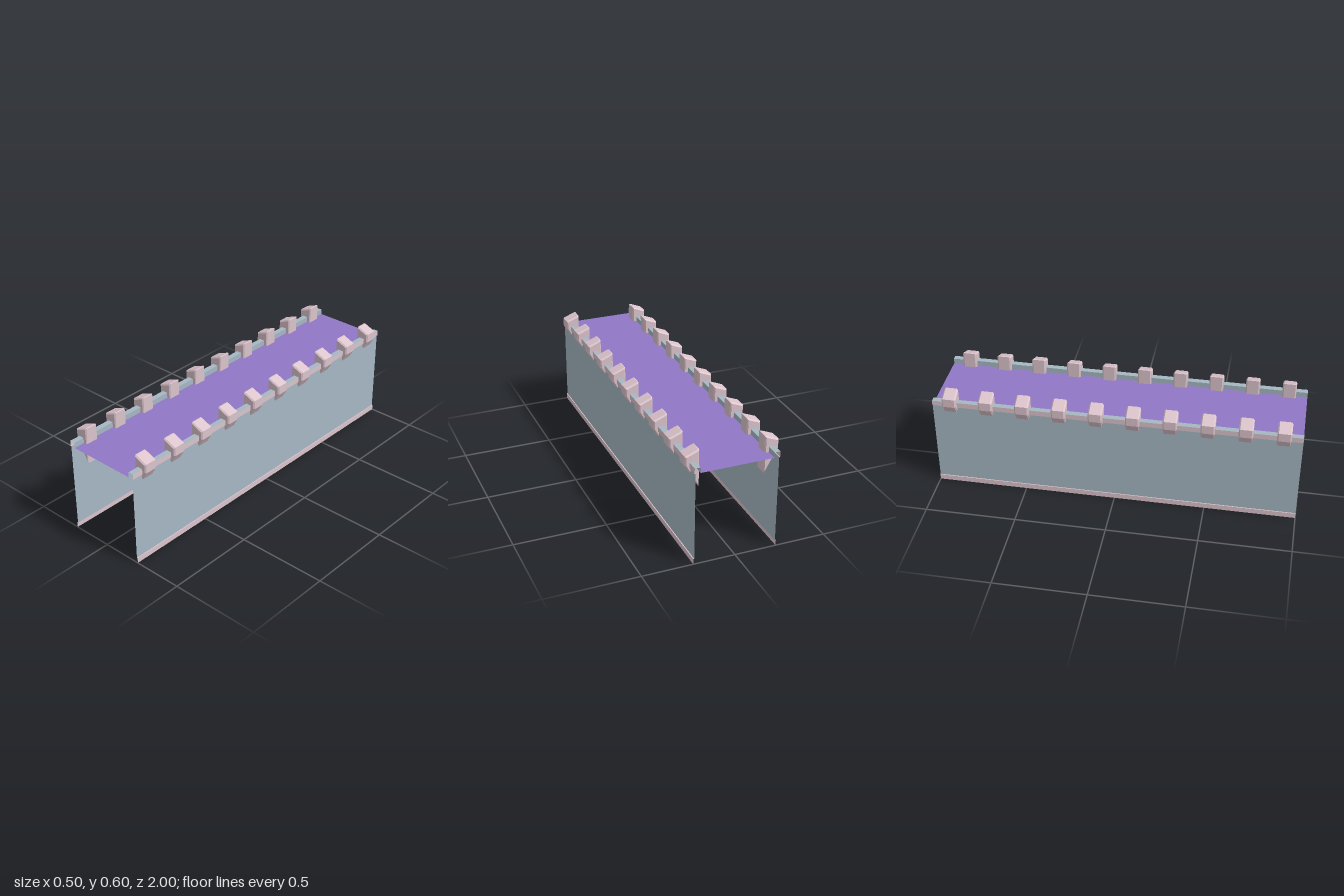
import * as THREE from 'three';

const LENGTH = 2;

function material(color, side = THREE.FrontSide) {
  return new THREE.MeshStandardMaterial({ color, side, flatShading: true });
}

// Open sheet: a cross-section polyline [x, y] swept along z
function sheet(name, profile, mat) {
  const positions = [], h = LENGTH / 2;
  for (let i = 0; i < profile.length - 1; i++) {
    const [ax, ay] = profile[i], [bx, by] = profile[i + 1];
    positions.push(ax, ay, h, ax, ay, -h, bx, by, -h);
    positions.push(ax, ay, h, bx, by, -h, bx, by, h);
  }
  const geometry = new THREE.BufferGeometry();
  geometry.setAttribute('position', new THREE.Float32BufferAttribute(positions, 3));
  geometry.computeVertexNormals();
  const mesh = new THREE.Mesh(geometry, mat);
  mesh.name = name;
  return mesh;
}

// Bevelled wedge block that clasps the rail, tapering down the inside
function blockGeometry(side) {
  const bevel = 0.007, width = 0.076;
  const profile = [[0.174, 0.395], [0.249, 0.523], [0.249, 0.572], [0.18, 0.6], [0.174, 0.599]];
  const shape = new THREE.Shape(profile.map(([x, y]) => new THREE.Vector2(side * x, y)));
  const geometry = new THREE.ExtrudeGeometry(shape, {
    depth: width - 2 * bevel,
    bevelEnabled: true,
    bevelSegments: 1,
    bevelSize: bevel,
    bevelThickness: bevel,
    bevelOffset: -bevel,
  });
  geometry.translate(0, 0, -width / 2 + bevel);
  return geometry;
}

export function createModel() {
  const model = new THREE.Group();
  model.name = 'walledWalkway';

  const wallMat = material(0xa6b8c4, THREE.DoubleSide);
  const trimMat = material(0xdcc4cc, THREE.DoubleSide);
  const deckMat = material(0x9078c6, THREE.DoubleSide);
  const blockMat = material(0xdcc4cc);

  // Walking surface between the rails
  model.add(sheet('deck', [[-0.195, 0.51], [0.195, 0.51]], deckMat));

  for (const side of [-1, 1]) {
    const half = new THREE.Group();
    half.name = side > 0 ? 'leftSide' : 'rightSide';
    const m = (points) => points.map(([x, y]) => [side * x, y]);

    // Wall panel, raised rail and projecting trim bands
    half.add(sheet('wall', m([[0.221, 0.03], [0.221, 0.51]]), wallMat));
    half.add(sheet('rail', m([[0.195, 0.51], [0.195, 0.54], [0.226, 0.54]]), wallMat));
    half.add(sheet('topTrim', m([[0.226, 0.54], [0.226, 0.51], [0.221, 0.51]]), trimMat));
    half.add(sheet('baseTrim', m([[0.221, 0.03], [0.226, 0.03], [0.226, 0]]), trimMat));

    // Evenly spaced blocks along the rail
    const geometry = blockGeometry(side);
    for (let i = 0; i < 10; i++) {
      const block = new THREE.Mesh(geometry, blockMat);
      block.name = 'railBlock';
      block.position.z = -0.9 + i * 0.2;
      half.add(block);
    }
    model.add(half);
  }
  return model;
}
